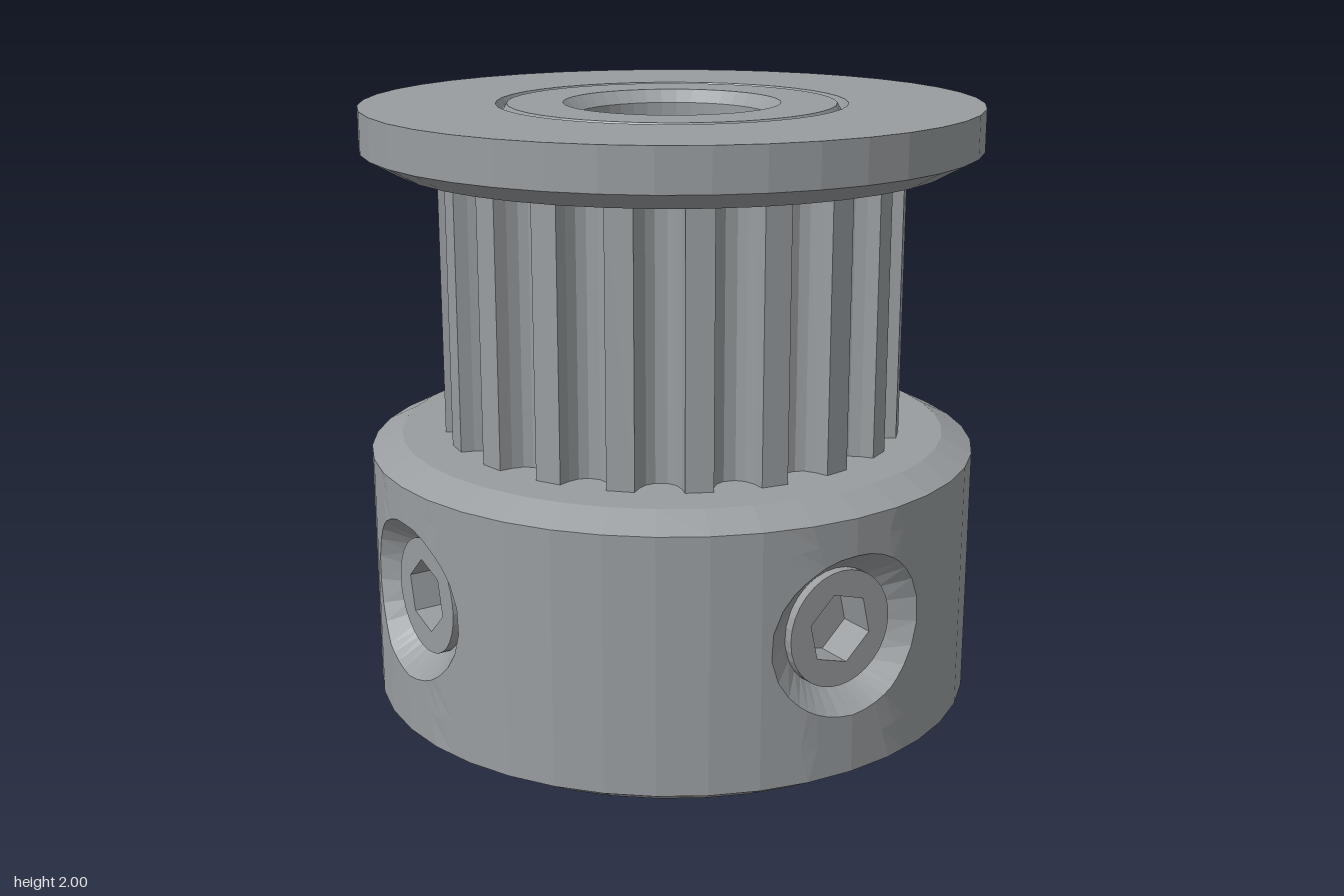
import * as THREE from 'three';

const SEGMENTS = 40;
const STEP = (Math.PI * 2) / SEGMENTS;
const HOLE_Y = 0.505;
const rad = THREE.MathUtils.degToRad;

// Gives every facet its own flat normal
function faceted(geometry) {
  const g = geometry.index ? geometry.toNonIndexed() : geometry;
  g.computeVertexNormals();
  return g;
}

// Turned surface, profile listed as [radius, height]
function turned(profile, startDeg = 0, sweepDeg = 360) {
  const points = profile.map(([r, y]) => new THREE.Vector2(r, y));
  const segments = Math.round((SEGMENTS * sweepDeg) / 360);
  return faceted(new THREE.LatheGeometry(points, segments, rad(startDeg), rad(sweepDeg)));
}

// Skin between closed rings, each listed from the outside inwards
function skin(rings) {
  const n = rings[0].length;
  const positions = [];
  for (let k = 0; k < rings.length - 1; k++) {
    for (let i = 0; i < n; i++) {
      const j = (i + 1) % n;
      const a = rings[k][i], b = rings[k][j], c = rings[k + 1][j], d = rings[k + 1][i];
      for (const p of [a, b, d, b, c, d]) positions.push(...p);
    }
  }
  const g = new THREE.BufferGeometry();
  g.setAttribute('position', new THREE.Float32BufferAttribute(positions, 3));
  return faceted(g);
}

// Point on the faceted outer wall, for an angle from the front and a height
function onWall(angle, y) {
  const within = angle - Math.floor(angle / STEP) * STEP - STEP / 2;
  const r = Math.cos(STEP / 2) / Math.cos(within);
  return [r * Math.sin(angle), y, r * Math.cos(angle)];
}

// Wall panel with an opening, and the countersink inside it
function holeRings() {
  const border = [];
  const low = 0.06, high = 0.88, half = rad(18), n = 8;
  const lerp = THREE.MathUtils.lerp;
  for (let i = 0; i < n; i++) border.push([half, lerp(low, high, i / n)]);
  for (let i = 0; i < n; i++) border.push([lerp(half, -half, i / n), high]);
  for (let i = 0; i < n; i++) border.push([-half, lerp(high, low, i / n)]);
  for (let i = 0; i < n; i++) border.push([lerp(-half, half, i / n), low]);
  const directions = border.map(([a, y]) => Math.atan2(y - HOLE_Y, a));
  const rim = directions.map((t) => [Math.asin(0.28 * Math.cos(t)), HOLE_Y + 0.257 * Math.sin(t)]);
  const panel = [0, 0.5, 1].map((f) =>
    border.map(([a, y], i) => onWall(lerp(a, rim[i][0], f), lerp(y, rim[i][1], f))));
  const seat = directions.map((t) => [0.187 * Math.cos(t), HOLE_Y + 0.187 * Math.sin(t), 0.9]);
  return { panel, countersink: [panel[2], seat] };
}

// Grooved belt drum: twenty round-bottomed grooves
function drumGeometry() {
  const groove = [[-5.7, 0.757], [-5.1, 0.715], [-3.8, 0.682], [-1.6, 0.664],
    [1.6, 0.664], [3.8, 0.682], [5.1, 0.715], [5.7, 0.757]];
  const points = [];
  for (let i = 0; i < 20; i++) {
    for (const [deg, r] of groove) {
      const a = rad(i * 18 + deg);
      points.push(new THREE.Vector2(r * Math.cos(a), r * Math.sin(a)));
    }
  }
  const shape = new THREE.Shape(points);
  shape.holes.push(new THREE.Path().absarc(0, 0, 0.5, 0, Math.PI * 2, true));
  const g = new THREE.ExtrudeGeometry(shape, { depth: 0.92, bevelEnabled: false, curveSegments: 20 });
  return g.rotateX(-Math.PI / 2).translate(0, 0.91, 0);
}

// Screw head ring with a hexagonal socket
function socketGeometry() {
  const shape = new THREE.Shape().absarc(0, 0, 0.187, 0, Math.PI * 2, false);
  const hex = [];
  for (let i = 0; i < 6; i++) {
    const a = rad(103 - i * 60);
    hex.push(new THREE.Vector2(0.117 * Math.cos(a), 0.117 * Math.sin(a)));
  }
  shape.holes.push(new THREE.Path(hex));
  const g = new THREE.ExtrudeGeometry(shape, { depth: 0.12, bevelEnabled: false, curveSegments: 16 });
  return g.translate(0, HOLE_Y, 0.81);
}

export function createModel() {
  const model = new THREE.Group();
  model.name = 'timingPulley';
  const metal = new THREE.MeshStandardMaterial({ color: 0x999da0 });
  metal.name = 'grey metal';

  const add = (name, geometry, parent = model) => {
    const mesh = new THREE.Mesh(geometry, metal);
    mesh.name = name;
    parent.add(mesh);
    return mesh;
  };

  // Clamping base: chamfered ends and the plain stretches of wall
  add('baseBottom', turned([[0.31, 0.04], [0.35, 0], [0.9, 0], [1, 0.06]]));
  add('baseTop', turned([[1, 0.88], [0.9, 0.93], [0.6, 0.93]]));
  add('baseWallLong', turned([[1, 0.06], [1, 0.88]], 18, 234));
  add('baseWallShort', turned([[1, 0.06], [1, 0.88]], 288, 54));

  // Belt drum, top flange, hub face and bore
  add('grooveDrum', drumGeometry());
  add('topFlange', turned([[0.6, 1.81], [0.9, 1.81], [1, 1.865], [1, 2], [0.565, 2], [0.548, 1.97]]));
  add('hubFace', turned([[0.548, 1.97], [0.53, 2], [0.35, 2], [0.31, 1.96]]));
  add('bore', turned([[0.31, 1.96], [0.31, 0.04]]));

  // Two set screws at right angles, on the front and on the right
  const rings = holeRings();
  const panel = skin(rings.panel);
  const countersink = skin(rings.countersink);
  const socket = socketGeometry();
  const shaft = new THREE.CylinderGeometry(0.187, 0.187, 0.51, 32)
    .rotateX(Math.PI / 2).translate(0, HOLE_Y, 0.555);
  [['front', 0], ['right', -Math.PI / 2]].forEach(([side, angle]) => {
    const group = new THREE.Group();
    group.name = side + 'SetScrew';
    group.rotation.y = angle;
    add('wallPanel', panel, group);
    add('countersink', countersink, group);
    add('screwSocket', socket, group);
    add('screwShaft', shaft, group);
    model.add(group);
  });

  return model;
}
